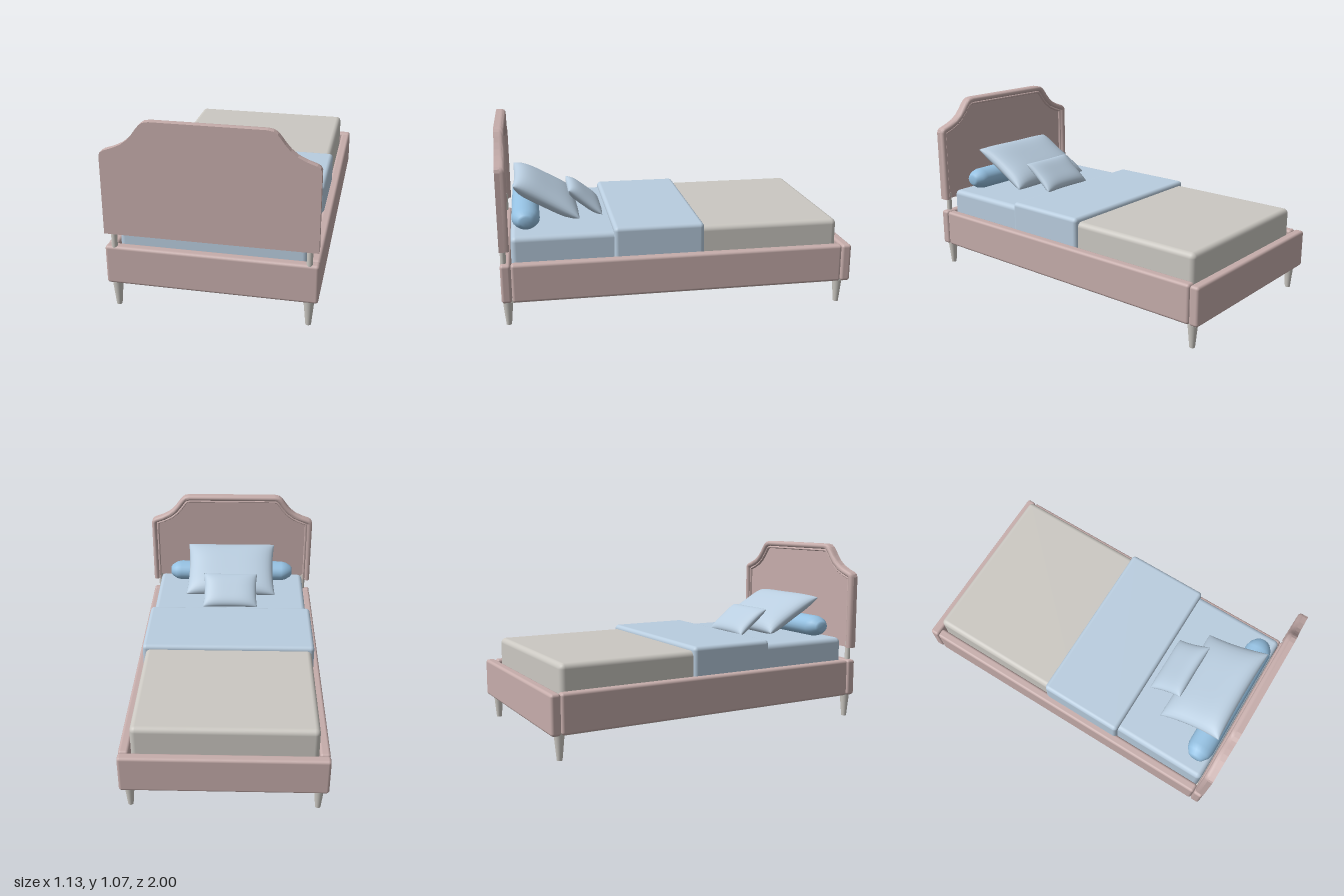
import * as THREE from 'three';
import { mergeVertices, toCreasedNormals } from 'three/addons/utils/BufferGeometryUtils.js';
import { RoundedBoxGeometry } from 'three/addons/geometries/RoundedBoxGeometry.js';

const material = (name, color) => {
  const m = new THREE.MeshStandardMaterial({ color });
  m.name = name;
  return m;
};

// Headboard outline from the bottom at +x, over the top, to the bottom at -x
function headboardOutline() {
  const half = [
    [0.562, 0.435], [0.562, 0.872], [0.555, 0.89], [0.538, 0.901], [0.49, 0.918],
    [0.444, 0.94], [0.41, 0.967], [0.383, 0.998], [0.362, 1.027], [0.345, 1.048],
    [0.325, 1.062], [0.295, 1.068],
  ].map(([x, y]) => new THREE.Vector2(x, y));
  return [...half, ...half.slice().reverse().map((p) => new THREE.Vector2(-p.x, p.y))];
}

// Mitred inward offset direction at each outline point
function inwardMitres(points) {
  const normals = points.slice(1).map((p, i) => {
    const t = p.clone().sub(points[i]).normalize();
    return new THREE.Vector2(-t.y, t.x);
  });
  return points.map((_, i) => {
    const a = normals[Math.max(i - 1, 0)];
    const b = normals[Math.min(i, normals.length - 1)];
    return a.clone().add(b).divideScalar(1 + a.dot(b));
  });
}

// Rolled border with a thin inner bead, swept along the outline
function rimGeometry(points) {
  const section = [ // [inset, z]
    [0, 0.972], [0, 0.96], [0.004, 0.951], [0.013, 0.945], [0.023, 0.946], [0.031, 0.953],
    [0.034, 0.966], [0.038, 0.96], [0.044, 0.959], [0.048, 0.964], [0.05, 0.974],
  ];
  const mitres = inwardMitres(points);
  const m = section.length;
  const positions = [];
  const index = [];
  const add = (i, [d, z]) =>
    positions.push(points[i].x + mitres[i].x * d, points[i].y + mitres[i].y * d, z);
  points.forEach((_, i) => section.forEach((s) => add(i, s)));
  const last = points.length - 1;
  for (let i = 0; i < last; i++) {
    for (let j = 0; j < m - 1; j++) {
      const a = i * m + j;
      index.push(a, a + 1, a + m, a + 1, a + m + 1, a + m);
    }
  }
  // End caps
  const c = positions.length / 3;
  add(0, [0.03, 0.974]);
  add(last, [0.03, 0.974]);
  for (let j = 0; j < m - 1; j++) {
    index.push(c, j + 1, j, c + 1, last * m + j, last * m + j + 1);
  }
  const g = new THREE.BufferGeometry();
  g.setAttribute('position', new THREE.Float32BufferAttribute(positions, 3));
  g.setIndex(index);
  return toCreasedNormals(g, 0.8);
}

// Puffy cushion lying flat, with pinched sides and pointed corners
function cushionGeometry(width, length, thickness) {
  const g = new THREE.BoxGeometry(2, 2, 2, 20, 1, 20);
  g.deleteAttribute('normal');
  g.deleteAttribute('uv');
  const p = g.attributes.position;
  for (let i = 0; i < p.count; i++) {
    const u = Math.sin(p.getX(i) * Math.PI / 2);
    const v = Math.sin(p.getZ(i) * Math.PI / 2);
    const puff = Math.sqrt(Math.max(0, (1 - u ** 4) * (1 - v ** 4)));
    p.setXYZ(i,
      u * width / 2 * (1 - 0.05 * (1 - v * v)),
      Math.sign(p.getY(i)) * puff * thickness / 2,
      v * length / 2 * (1 - 0.05 * (1 - u * u)));
  }
  const merged = mergeVertices(g, 1e-5);
  merged.computeVertexNormals();
  return merged;
}

export function createModel() {
  const pink = material('dusty pink upholstery', 0xc6adab);
  const cream = material('warm grey', 0xcbc8c2);
  const blue = material('pale blue linen', 0xb9cddf);
  const bolsterBlue = material('bolster blue', 0x95c1e2);

  const model = new THREE.Group();
  model.name = 'bed';
  const add = (name, geometry, mat, x = 0, y = 0, z = 0) => {
    const mesh = new THREE.Mesh(geometry, mat);
    mesh.name = name;
    mesh.position.set(x, y, z);
    model.add(mesh);
    return mesh;
  };
  // Rounded box given by its limits on each axis
  const block = (name, mat, [x0, x1], [y0, y1], [z0, z1], r) =>
    add(name, new RoundedBoxGeometry(x1 - x0, y1 - y0, z1 - z0, 4, r), mat,
      (x0 + x1) / 2, (y0 + y1) / 2, (z0 + z1) / 2);

  // Upholstered frame
  block('headRail', pink, [-0.565, 0.565], [0.14, 0.36], [0.943, 1], 0.016);
  block('footRail', pink, [-0.565, 0.565], [0.14, 0.36], [-1, -0.943], 0.016);
  block('leftRail', pink, [0.508, 0.565], [0.14, 0.36], [-0.942, 0.942], 0.016);
  block('rightRail', pink, [-0.565, -0.508], [0.14, 0.36], [-0.942, 0.942], 0.016);
  add('basePanel', new THREE.BoxGeometry(1.1, 0.02, 1.97), cream, 0, 0.148, 0);

  // Tapered legs and the short posts that carry the headboard
  for (const [side, x] of [['left', 0.515], ['right', -0.515]]) {
    for (const [end, z] of [['Front', 0.967], ['Back', -0.94]]) {
      add(`${side}${end}Leg`, new THREE.CylinderGeometry(0.029, 0.015, 0.145, 24), cream, x, 0.0725, z);
    }
    add(`${side}HeadboardPost`, new THREE.CylinderGeometry(0.016, 0.016, 0.14, 20), cream, x, 0.4, 0.981);
  }

  // Headboard
  const outline = headboardOutline();
  add('headboardPanel', new THREE.ExtrudeGeometry(new THREE.Shape(outline),
    { depth: 0.028, bevelEnabled: false }), pink, 0, 0, 0.972);
  add('headboardRim', rimGeometry(outline), pink);

  // Bedding
  block('mattress', cream, [-0.508, 0.5], [0.2, 0.5], [-0.925, 0.1], 0.03);
  block('sheet', blue, [-0.502, 0.502], [0.2, 0.495], [0, 0.938], 0.03);
  block('foldedBlanket', blue, [-0.525, 0.52], [0.3, 0.525], [-0.137, 0.373], 0.024);

  // Bolster and cushions
  const profile = [[0, -0.424], [0.03, -0.424], [0.045, -0.415], [0.068, -0.385], [0.078, -0.35],
    [0.078, 0.35], [0.068, 0.385], [0.045, 0.415], [0.03, 0.424], [0, 0.424]]
    .map(([r, t]) => new THREE.Vector2(r, t));
  const bolster = add('bolster', new THREE.LatheGeometry(profile, 24), bolsterBlue, 0, 0.557, 0.85);
  bolster.rotation.z = Math.PI / 2;
  bolster.scale.x = 0.82;

  const cushion = add('largeCushion', cushionGeometry(0.6, 0.42, 0.125), blue, 0, 0.625, 0.73);
  cushion.rotation.x = -0.51;
  const small = add('smallCushion', cushionGeometry(0.36, 0.245, 0.075), blue, 0, 0.58, 0.502);
  small.rotation.x = -0.67;

  return model;
}
